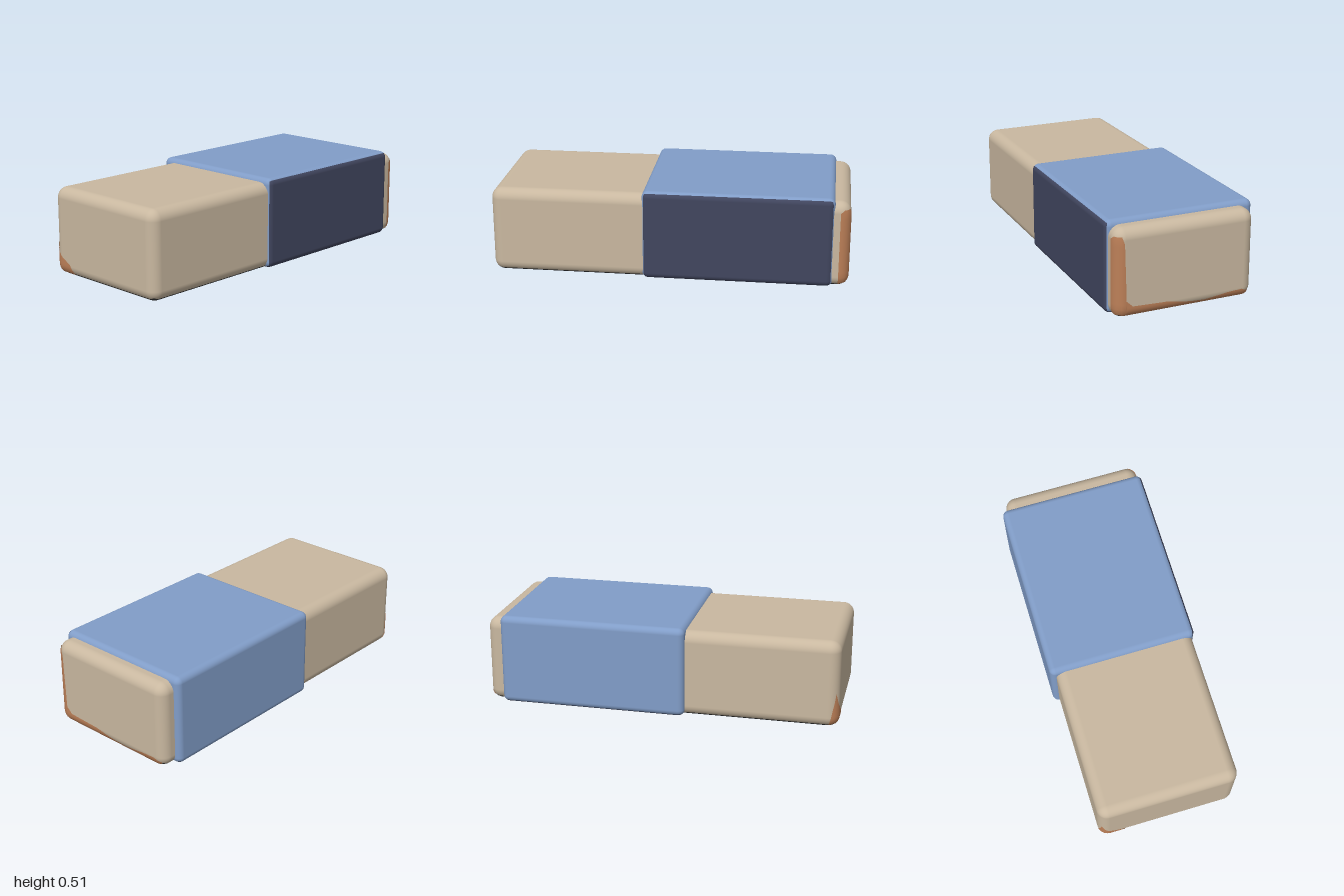
import * as THREE from 'three';
import { RoundedBoxGeometry } from 'three/addons/geometries/RoundedBoxGeometry.js';

const flat = (name, color) => {
  const m = new THREE.MeshStandardMaterial({ color });
  m.name = name;
  return m;
};

// Block size: local x runs along the block, z across it
const L = 0.99, H = 0.487, W = 0.396, R = 0.06;

// Moves a point of the sharp-cornered block onto its rounded skin, lifted slightly
function onSkin(x, y, z) {
  const p = new THREE.Vector3(x, y - H / 2, z);
  const lim = new THREE.Vector3(L - R, H / 2 - R, W - R);
  const core = p.clone().clamp(lim.clone().negate(), lim);
  const out = p.sub(core).normalize();
  const s = core.addScaledVector(out, R + 0.003);
  s.y += H / 2;
  s.y = Math.max(s.y, 0);
  return s;
}

// Thin smudge: path points are [x, z, height], rising from the bottom edge
function smudge(path, steps, rows, material, name) {
  const pos = [], index = [];
  const cols = (path.length - 1) * steps;
  for (let i = 0; i <= cols; i++) {
    const k = Math.min(Math.floor(i / steps), path.length - 2);
    const t = i / steps - k;
    const [x, z, h] = path[k].map((a, n) => THREE.MathUtils.lerp(a, path[k + 1][n], t));
    for (let j = 0; j <= rows; j++) {
      pos.push(...onSkin(x, h * j / rows, z).toArray());
      if (i < cols && j < rows) {
        const a = i * (rows + 1) + j, b = a + rows + 1;
        index.push(a, b, a + 1, b, b + 1, a + 1);
      }
    }
  }
  const g = new THREE.BufferGeometry();
  g.setAttribute('position', new THREE.Float32BufferAttribute(pos, 3));
  g.setIndex(index);
  g.computeVertexNormals();
  const mesh = new THREE.Mesh(g, material);
  mesh.name = name;
  return mesh;
}

export function createModel() {
  const tan = flat('tan rubber', 0xc9b8a0);
  const blue = flat('sleeve blue', 0x819dc8);
  const navy = flat('sleeve navy', 0x41465f);
  const black = flat('black underside', 0x3a3a3a);
  const rust = flat('rust smudge', 0xbd8058);
  rust.side = THREE.DoubleSide;

  const model = new THREE.Group();
  model.name = 'eraser';

  // Face order of the rounded boxes: +x, -x, +y, -y, +z, -z
  const block = new THREE.Mesh(
    new RoundedBoxGeometry(2 * L, H, 2 * W, 6, R),
    [tan, tan, tan, black, tan, tan]);
  block.name = 'rubberBlock';
  block.position.y = H / 2;

  // Sleeve wrapped round the block, two-toned
  const sleeve = new THREE.Mesh(
    new RoundedBoxGeometry(1.05, 0.507, 0.84, 5, 0.035),
    [blue, blue, blue, navy, navy, blue]);
  sleeve.name = 'sleeve';
  sleeve.position.set(0.38, 0.003 + 0.507 / 2, -0.008);

  // Worn smudges on the far end and on one near corner
  const endSmudge = smudge([
    [0.935, W, 0.43], [0.96, W, 0.45], [L, W, 0.455], [L, 0.36, 0.45], [L, 0.345, 0.41],
    [L, 0.335, 0.1], [L, 0.3, 0.068], [L, 0.1, 0.06], [L, -0.03, 0.035], [L, -0.11, 0.028],
    [L, -0.24, 0.05], [L, -0.33, 0.055], [L, -0.38, 0.03],
  ], 4, 16, rust, 'endSmudge');
  const cornerSmudge = smudge([
    [-0.94, -W, 0.01], [-0.96, -W, 0.1], [-L, -W, 0.2], [-L, -0.36, 0.13],
    [-L, -0.33, 0.1], [-L, -0.27, 0.07], [-L, -0.24, 0.02],
  ], 4, 12, rust, 'cornerSmudge');

  model.add(block, sleeve, endSmudge, cornerSmudge);

  // The eraser lies askew
  model.rotation.y = 0.908;
  const root = new THREE.Group();
  root.name = 'model';
  root.add(model);
  return root;
}
